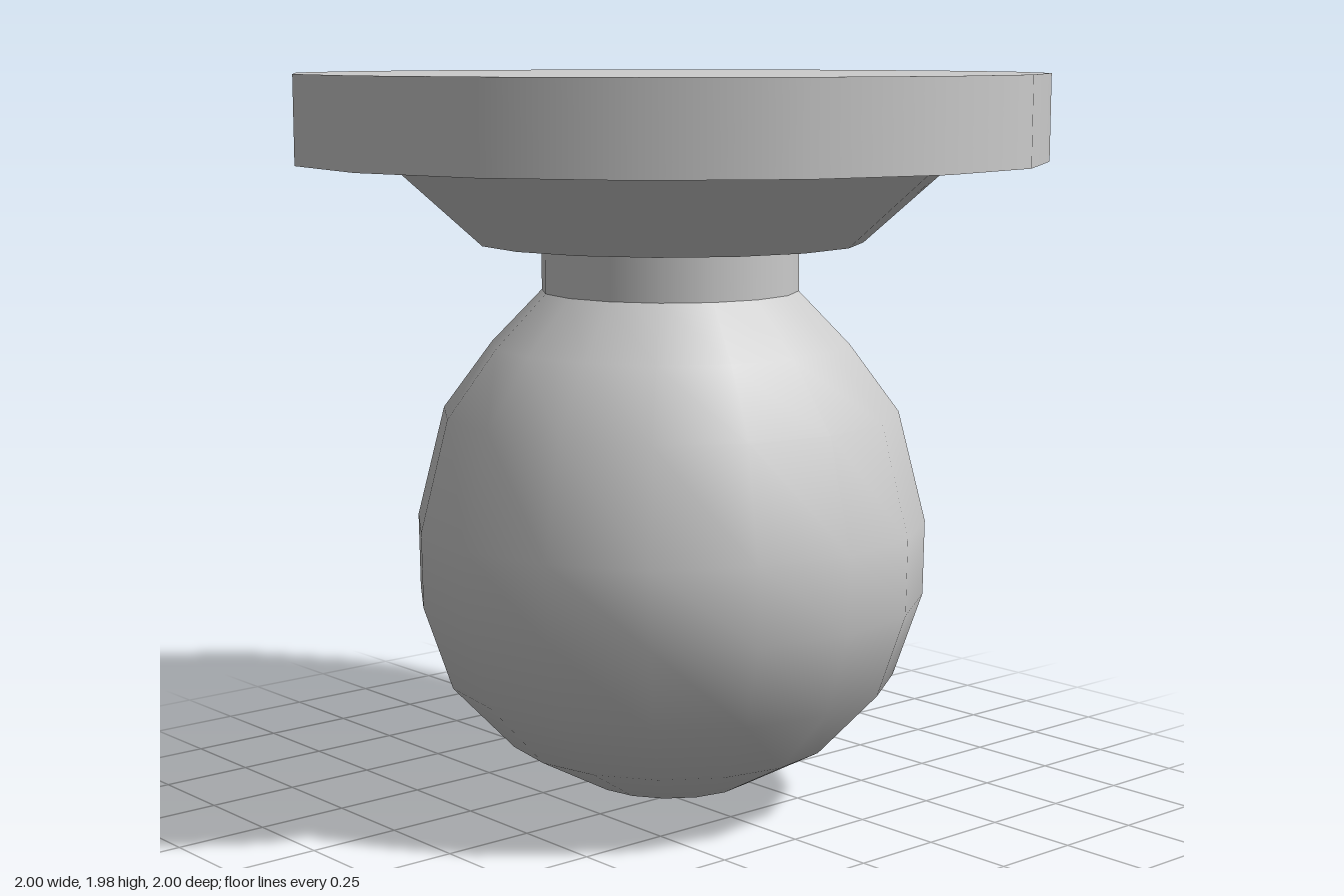
import * as THREE from 'three';

const SIDES = 16;

export function createModel() {
  const group = new THREE.Group();
  const material = new THREE.MeshStandardMaterial({ color: 0xcccccc });

  const add = (name, geometry, y = 0) => {
    const mesh = new THREE.Mesh(geometry, material);
    mesh.name = name;
    mesh.position.y = y;
    group.add(mesh);
  };

  // round section between two heights
  const drum = (name, rTop, rBottom, y0, y1, open = false) =>
    add(name, new THREE.CylinderGeometry(rTop, rBottom, y1 - y0, SIDES, 1, open), (y0 + y1) / 2);

  // flat mounting disc, tapered collar and short neck
  drum('topDisc', 1, 1, 1.75, 1.98);
  drum('collar', 0.755, 0.515, 1.535, 1.75);
  drum('neck', 0.345, 0.345, 1.405, 1.535, true);

  // rounded bulb, profile from the bottom tip up to the neck
  const profile = [
    [0, 0], [0.225, 0.062], [0.443, 0.18], [0.61, 0.357], [0.687, 0.583],
    [0.69, 0.785], [0.615, 1.083], [0.482, 1.263], [0.345, 1.405],
  ].map(([r, y]) => new THREE.Vector2(r, y));
  add('bulb', new THREE.LatheGeometry(profile, SIDES));

  return group;
}
